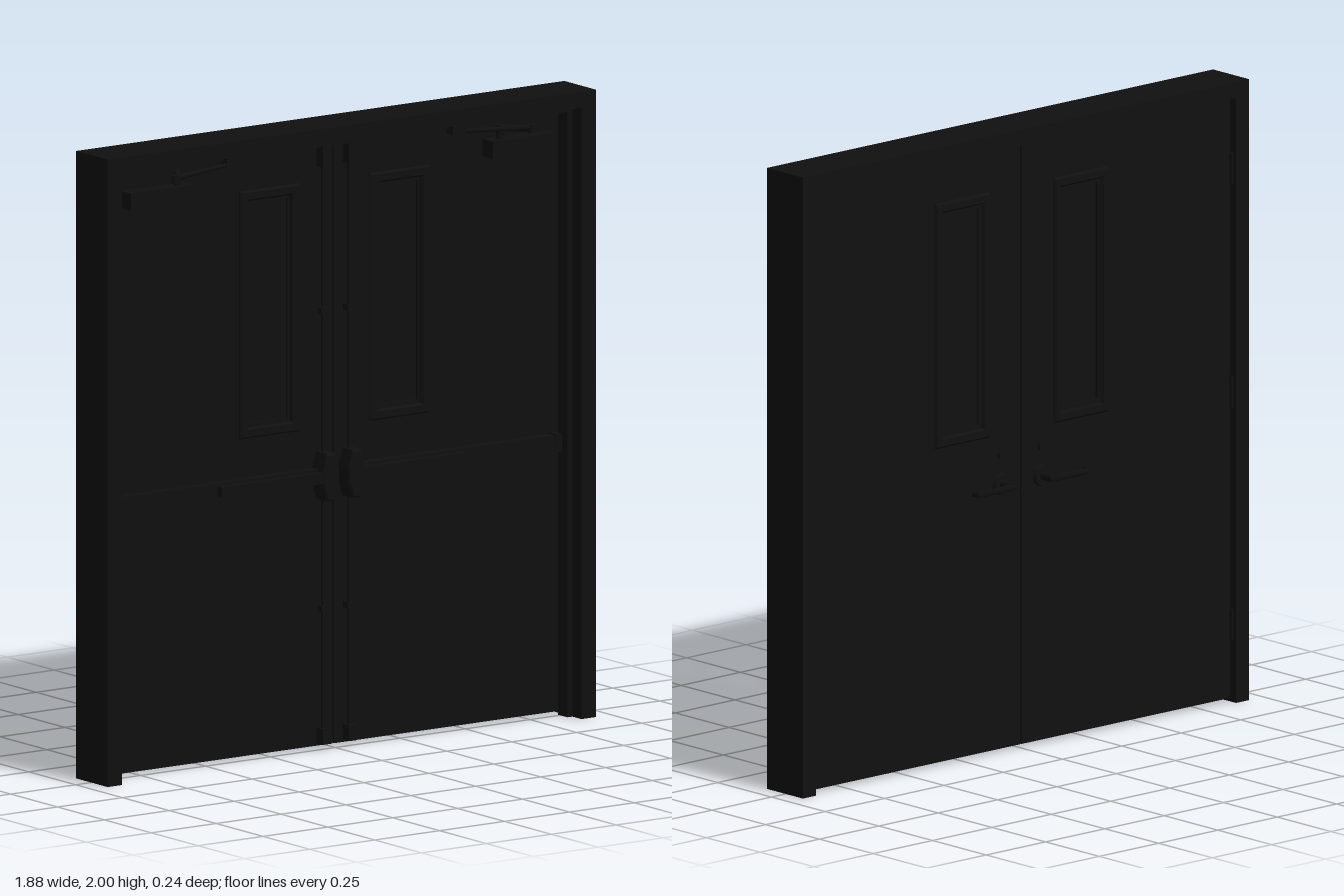
import * as THREE from 'three';

const dark = new THREE.MeshStandardMaterial({ color: 0x101010 });
const BACK = -0.055, FRONT = -0.01; // faces of the door leaves

function add(parent, name, geometry, x = 0, y = 0, z = 0) {
  const mesh = new THREE.Mesh(geometry, dark);
  mesh.name = name;
  mesh.position.set(x, y, z);
  parent.add(mesh);
  return mesh;
}

// Box given by its limits on each axis
function block(parent, name, [x0, x1], [y0, y1], [z0, z1]) {
  return add(parent, name, new THREE.BoxGeometry(x1 - x0, y1 - y0, z1 - z0),
    (x0 + x1) / 2, (y0 + y1) / 2, (z0 + z1) / 2);
}

const outline = pts => pts.map(p => new THREE.Vector2(...p));
const rect = (x0, x1, y0, y1) => outline([[x0, y0], [x1, y0], [x1, y1], [x0, y1]]);

function extrude(points, depth, hole, bevel = 0) {
  const shape = new THREE.Shape(points);
  if (hole) shape.holes.push(new THREE.Path(hole));
  return new THREE.ExtrudeGeometry(shape, {
    depth, bevelEnabled: bevel > 0, bevelSize: bevel, bevelThickness: bevel, bevelSegments: 1,
  });
}

// Upside-down U: two jambs and a head
function portal(outX, outY, inX, inY, depth) {
  return extrude(outline([[-outX, 0], [-inX, 0], [-inX, inY], [inX, inY],
    [inX, 0], [outX, 0], [outX, outY], [-outX, outY]]), depth);
}

// Round bar between two points
function bar(parent, name, a, b, r0, r1 = r0) {
  const from = new THREE.Vector3(...a), to = new THREE.Vector3(...b);
  const dir = to.clone().sub(from);
  const mesh = add(parent, name, new THREE.CylinderGeometry(r1, r0, dir.length(), 12));
  mesh.position.copy(from).addScaledVector(dir, 0.5);
  mesh.quaternion.setFromUnitVectors(new THREE.Vector3(0, 1, 0), dir.normalize());
  return mesh;
}

// s = 1 for the left leaf (+x), -1 for the right leaf
function makeDoor(s) {
  const door = new THREE.Group();
  door.name = s > 0 ? 'leftDoor' : 'rightDoor';
  const X = (a, b) => (s > 0 ? [a, b] : [-b, -a]);

  // Leaf with window opening
  const open = rect(...X(0.165, 0.335), 1.06, 1.78);
  add(door, 'leaf', extrude(rect(...X(0.003, 0.882), 0.012, 1.945), FRONT - BACK, open), 0, 0, BACK);

  // Window: bevelled trim and inner bead on both faces, glass in the middle
  for (const [z, dir] of [[FRONT, 1], [BACK, -1]]) {
    const trim = extrude(rect(...X(0.14, 0.36), 1.03, 1.808), 0.003,
      rect(...X(0.16, 0.34), 1.052, 1.786), 0.006);
    add(door, 'windowTrim', trim, 0, 0, z - 0.0015 + dir * 0.004);
    add(door, 'windowBead', extrude(rect(...X(0.162, 0.338), 1.055, 1.785), 0.008,
      rect(...X(0.175, 0.325), 1.07, 1.77)), 0, 0, z - 0.004 - dir * 0.006);
  }
  block(door, 'glass', X(0.163, 0.337), [1.058, 1.782], [-0.037, -0.029]);

  // Panic device: rail, push bar and end cap
  block(door, 'panicRail', X(0.06, 0.85), [0.85, 0.9], [FRONT, 0.022]);
  block(door, 'pushBar', X(0.08, 0.47), [0.858, 0.892], [0.022, 0.048]);
  block(door, 'railEndCap', X(0.83, 0.855), [0.846, 0.904], [FRONT, 0.026]);

  // Lock head in a tall, pointed outline
  const head = outline([[-0.012, -0.07], [0.012, -0.07], [0.026, -0.02], [0.026, 0.02],
    [0.012, 0.07], [-0.012, 0.07], [-0.026, 0.02], [-0.026, -0.02]]);
  add(door, 'lockHead', extrude(head, 0.055, null, 0.006), s * 0.05, 0.875, FRONT);

  // Vertical rods with latches and guides
  bar(door, 'verticalRod', [s * 0.05, 0.03, 0.006], [s * 0.05, 1.92, 0.006], 0.007);
  block(door, 'topLatch', X(0.035, 0.065), [1.86, 1.93], [FRONT, 0.025]);
  block(door, 'bottomLatch', X(0.035, 0.065), [0.02, 0.07], [FRONT, 0.025]);
  for (const y of [0.45, 1.4]) block(door, 'rodGuide', X(0.038, 0.062), [y - 0.01, y + 0.01], [FRONT, 0.016]);

  // Closer body with its two-piece arm
  block(door, 'closerBody', X(0.575, 0.82), [1.815, 1.87], [FRONT, 0.045]);
  bar(door, 'closerSpindle', [s * 0.62, 1.865, 0.018], [s * 0.62, 1.915, 0.018], 0.012);
  bar(door, 'mainArm', [s * 0.62, 1.907, 0.018], [s * 0.685, 1.907, 0.1], 0.01);
  bar(door, 'armElbow', [s * 0.685, 1.896, 0.1], [s * 0.685, 1.922, 0.1], 0.015);
  bar(door, 'foreArm', [s * 0.685, 1.914, 0.102], [s * 0.43, 1.92, 0.045], 0.009, 0.006);
  block(door, 'armBracket', X(0.41, 0.46), [1.914, 1.94], [0.025, 0.06]);

  // Back lever with rosette and key cylinder
  const hx = s * 0.085, hy = 0.865;
  bar(door, 'rosette', [hx, hy, BACK], [hx, hy, BACK - 0.012], 0.035, 0.031);
  bar(door, 'leverNeck', [hx, hy, BACK], [hx, hy, -0.117], 0.014);
  const path = new THREE.CatmullRomCurve3([[0.07, -0.115], [0.12, -0.116], [0.215, -0.116],
    [0.229, -0.111], [0.235, -0.09]].map(([x, z]) => new THREE.Vector3(s * x, hy, z)),
  false, 'catmullrom', 0.2);
  const lever = add(door, 'lever', new THREE.TubeGeometry(path, 30, 0.004, 8), 0, hy, 0);
  lever.geometry.translate(0, -hy, 0);
  lever.scale.y = 2.6; // flat, tall strip
  bar(door, 'keyCylinder', [hx, 0.96, BACK], [hx, 0.96, BACK - 0.01], 0.014);

  // Hinge knuckles
  for (const y of [0.25, 1.0, 1.72]) {
    bar(door, 'hinge', [s * 0.884, y - 0.05, BACK - 0.006], [s * 0.884, y + 0.05, BACK - 0.006], 0.007);
  }
  return door;
}

export function createModel() {
  const model = new THREE.Group();
  model.name = 'doubleDoor';

  // Frame with a stop behind which the leaves close
  add(model, 'doorFrame', portal(0.94, 2, 0.885, 1.948, 0.168), 0, 0, -0.08);
  add(model, 'doorStop', portal(0.89, 1.953, 0.866, 1.93, 0.05), 0, 0, FRONT);

  for (const s of [1, -1]) model.add(makeDoor(s));
  return model;
}
